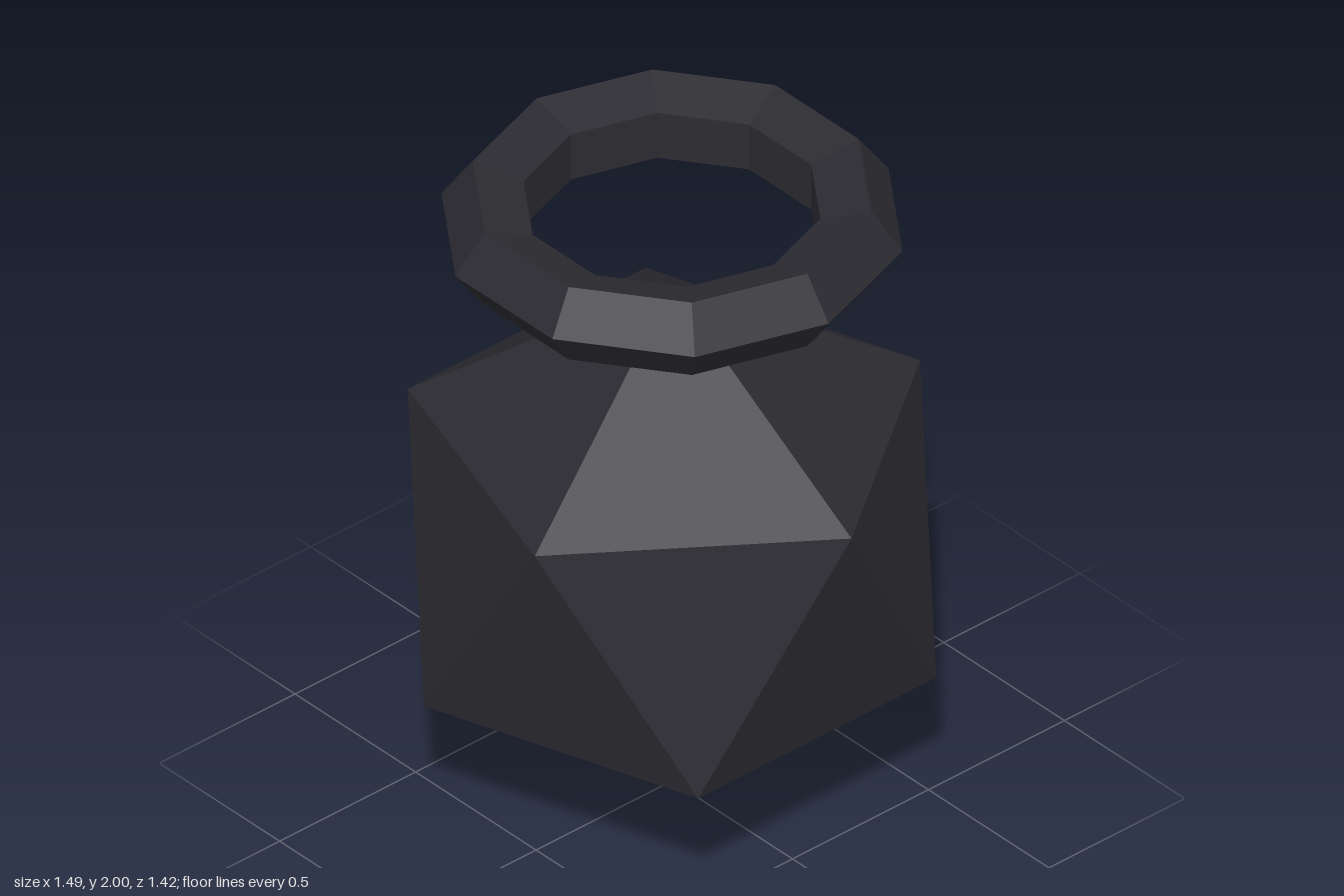
import * as THREE from 'three';

export function createModel() {
  const model = new THREE.Group();
  model.name = 'crystalWithHalo';

  const charcoal = new THREE.MeshStandardMaterial({ color: 0x2b2b31 });
  charcoal.name = 'charcoal';

  // Twenty-sided crystal, tipped so it balances on one point
  const radius = 0.833;
  const goldenRatio = (1 + Math.sqrt(5)) / 2;
  const crystalGeometry = new THREE.IcosahedronGeometry(radius, 0);
  crystalGeometry.rotateZ(-Math.atan(1 / goldenRatio));
  const crystal = new THREE.Mesh(crystalGeometry, charcoal);
  crystal.name = 'crystal';
  crystal.position.y = radius;
  model.add(crystal);

  // Ten-sided floating ring with a five-sided section, flat wall inside
  const ringGeometry = new THREE.TorusGeometry(0.522, 0.128, 5, 10).toNonIndexed();
  ringGeometry.rotateX(Math.PI / 2);
  ringGeometry.computeVertexNormals(); // one normal per facet
  const ring = new THREE.Mesh(ringGeometry, charcoal);
  ring.name = 'haloRing';
  ring.position.y = 1.878;
  model.add(ring);

  return model;
}
